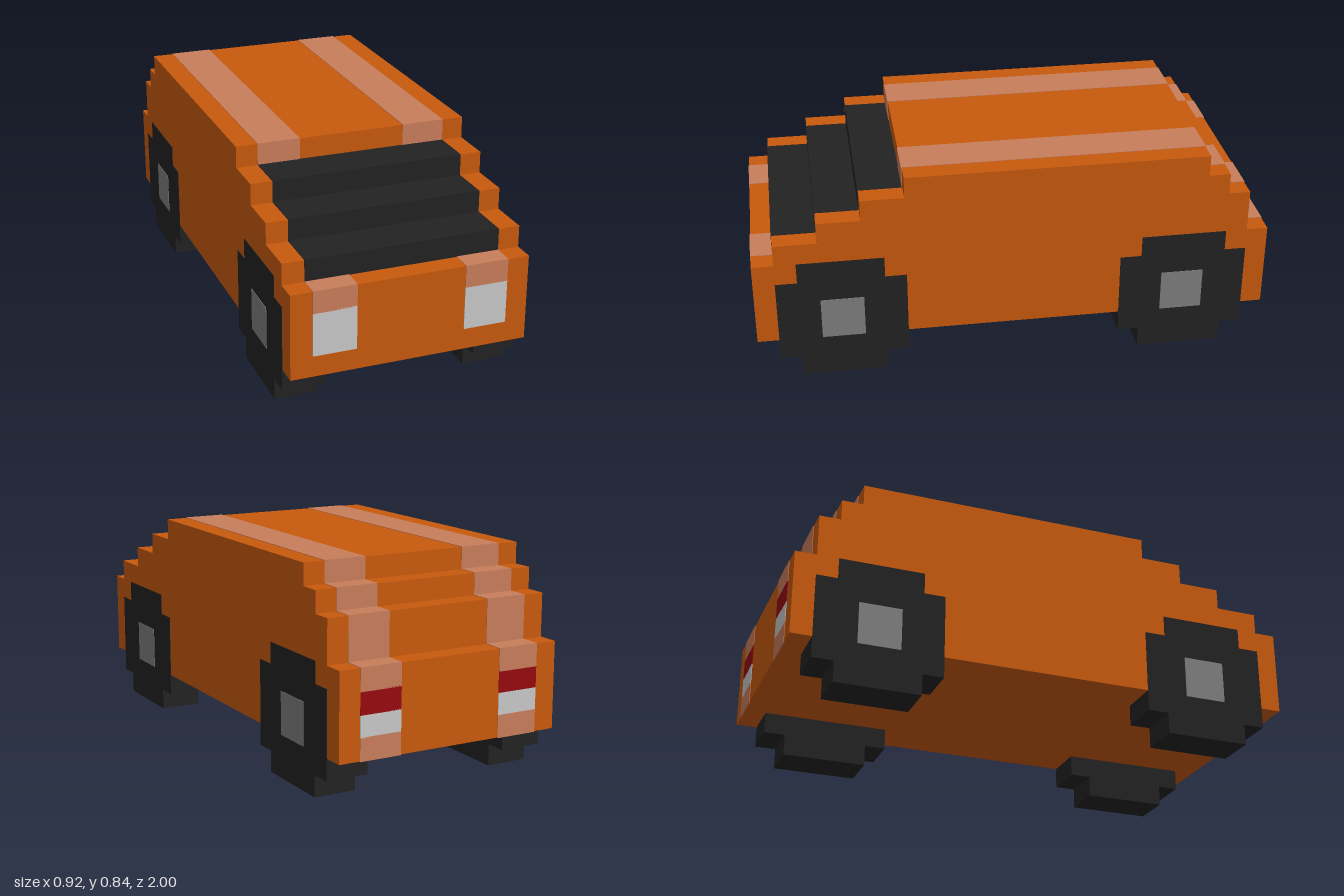
import * as THREE from 'three';

const U = 1 / 12; // one block
const T = 0.004;  // plate thickness

const material = (name, color) => {
  const m = new THREE.MeshStandardMaterial({ color });
  m.name = name;
  return m;
};

// Stepped car outline in blocks as [z, y], from back bottom over the roof to front bottom
const OUTLINE = [
  [-12, 2], [-12, 6], [-11, 6], [-11, 8], [-10, 8], [-10, 9], [-9, 9], [-9, 10],
  [5, 10], [5, 9], [7, 9], [7, 8], [9, 8], [9, 7], [11, 7], [11, 6], [12, 6], [12, 2],
];

// Stepped wheel outline around its centre
const WHEEL = [
  [-2, -3], [2, -3], [2, -2], [3, -2], [3, 2], [2, 2],
  [2, 3], [-2, 3], [-2, 2], [-3, 2], [-3, -2], [-2, -2],
];

// Extrudes a [z, y] outline across x, centred on x = 0
function slab(points, width) {
  const shape = new THREE.Shape(points.map(([z, y]) => new THREE.Vector2(z * U, y * U)));
  const geo = new THREE.ExtrudeGeometry(shape, { depth: width, bevelEnabled: false });
  return geo.translate(0, 0, -width / 2).rotateY(-Math.PI / 2);
}

function addMesh(parent, name, geo, mat, x = 0, y = 0, z = 0) {
  const mesh = new THREE.Mesh(geo, mat);
  mesh.name = name;
  mesh.position.set(x, y, z);
  parent.add(mesh);
  return mesh;
}

// Lays thin plates along each straight piece of a [z, y] path
function addPlates(parent, name, path, x, width, mat) {
  const group = new THREE.Group();
  group.name = name;
  for (let i = 1; i < path.length; i++) {
    const [z0, y0] = path[i - 1], [z1, y1] = path[i];
    const geo = new THREE.BoxGeometry(width * U, Math.abs(y1 - y0) * U + T, Math.abs(z1 - z0) * U + T);
    addMesh(group, name + 'Plate', geo, mat, x * U, (y0 + y1) / 2 * U, (z0 + z1) / 2 * U);
  }
  parent.add(group);
}

export function createModel() {
  const orange = material('orange paint', 0xc8590d);
  const salmon = material('pale stripe', 0xc87d5a);
  const black = material('black rubber and glass', 0x222222);
  const grey = material('hub grey', 0x7e7e7e);
  const white = material('lamp white', 0xc8c8c8);
  const red = material('lamp red', 0x960a0e);

  const car = new THREE.Group();
  car.name = 'car';

  // Body and stepped windscreen
  addMesh(car, 'body', slab(OUTLINE, 11 * U), orange);
  addPlates(car, 'windscreen', OUTLINE.slice(9, 16), 0, 9, black);

  for (const side of [-1, 1]) {
    const prefix = side > 0 ? 'left' : 'right';
    const x = side * 3.5;

    // Racing stripe, broken by the lamps and the windscreen
    addPlates(car, prefix + 'StripeTail', [[-12, 2], [-12, 3]], x, 2, salmon);
    addPlates(car, prefix + 'StripeRoof', [[-12, 5], ...OUTLINE.slice(1, 10)], x, 2, salmon);
    addPlates(car, prefix + 'StripeNose', [[11, 6], [12, 6], [12, 5]], x, 2, salmon);

    // Lamps
    addPlates(car, prefix + 'Headlight', [[12, 3], [12, 5]], x, 2, white);
    addPlates(car, prefix + 'TailLight', [[-12, 4], [-12, 5]], x, 2, red);
    addPlates(car, prefix + 'ReverseLight', [[-12, 3], [-12, 4]], x, 2, white);

    // Wheels with square hubs
    for (const end of [-1, 1]) {
      const wheel = new THREE.Group();
      wheel.name = prefix + (end > 0 ? 'FrontWheel' : 'RearWheel');
      wheel.position.set(side * (4.5 * U + T / 2), 3 * U, end * 8 * U);
      addMesh(wheel, 'tyre', slab(WHEEL, 2 * U), black);
      addMesh(wheel, 'hub', new THREE.BoxGeometry(T, 2 * U, 2 * U), grey, side * U);
      car.add(wheel);
    }
  }
  return car;
}
